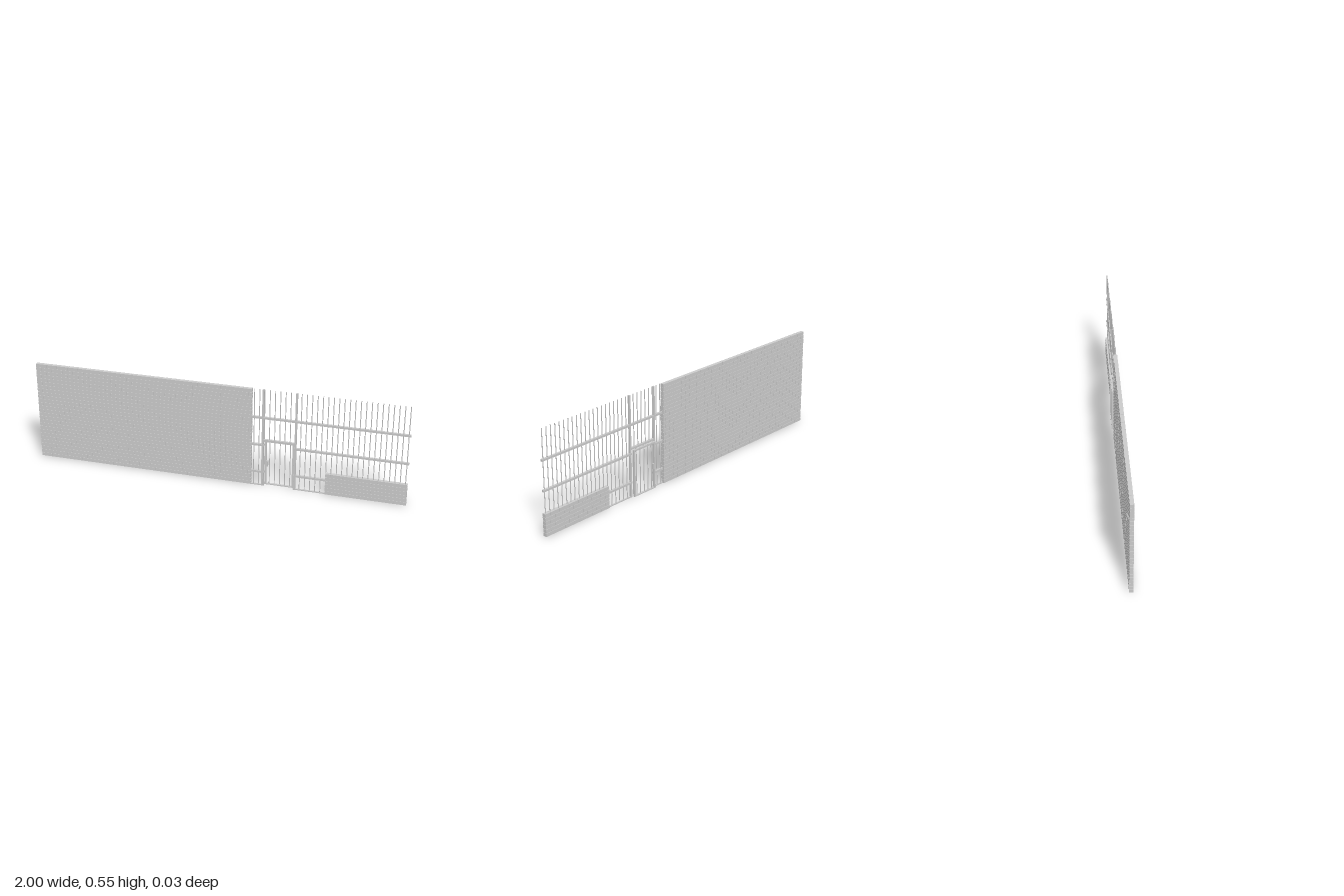
import * as THREE from 'three';
import { mergeGeometries } from 'three/addons/utils/BufferGeometryUtils.js';

const material = new THREE.MeshStandardMaterial({ color: 0xcccccc });

// Box given by its limits on each axis
function box(x0, x1, y0, y1, z0, z1) {
  return new THREE.BoxGeometry(x1 - x0, y1 - y0, z1 - z0)
    .translate((x0 + x1) / 2, (y0 + y1) / 2, (z0 + z1) / 2);
}

function bar(x, y0, y1, z, r = 0.0024) {
  return new THREE.CylinderGeometry(r, r, y1 - y0, 8).translate(x, (y0 + y1) / 2, z);
}

function part(name, geometries) {
  const mesh = new THREE.Mesh(mergeGeometries(geometries), material);
  mesh.name = name;
  return mesh;
}

// Running-bond bricks around a recessed mortar core
function brickWall(name, x0, x1, height, z0, z1, courses) {
  const group = new THREE.Group();
  group.name = name;
  const length = 0.06, gap = 0.0014, step = height / courses;
  const bricks = [];
  for (let row = 0; row < courses; row++) {
    for (let x = x0 - (row % 2) * length / 2; x < x1 - 0.002; x += length) {
      const a = Math.max(x, x0), b = Math.min(x + length, x1);
      const left = a > x0 ? a + gap : a;
      const right = b < x1 ? b - gap : b;
      if (right - left < 0.004) continue;
      bricks.push(box(left, right, row * step + gap, (row + 1) * step - gap, z0, z1));
    }
  }
  const inset = 0.002;
  group.add(part('bricks', bricks));
  group.add(part('mortar', [box(x0 + inset, x1 - inset, 0, height - inset, z0 + inset, z1 - inset)]));
  return group;
}

export function createModel() {
  const model = new THREE.Group();
  const wallEnd = 0.185, lowStart = 0.58, gateL = 0.255, gateR = 0.41;
  const top = 0.547, gateTop = 0.26, z = 0.0055;

  model.add(brickWall('tallWall', -1, wallEnd, 0.545, -0.008, 0.012, 27));
  model.add(brickWall('lowWall', lowStart, 1, 0.12, -0.005, 0.015, 6));

  // Upright fence bars, starting above the gate and the low wall
  const fenceBars = [], gateBars = [];
  for (let i = 0; i < 30; i++) {
    const x = 0.99 - i * 0.0273;
    if (x < wallEnd + 0.006) break;
    const overGate = x > gateL && x < gateR;
    const bottom = x > lowStart ? 0.118 : overGate ? gateTop : 0;
    fenceBars.push(bar(x, bottom, top, z));
    if (overGate) gateBars.push(bar(x, 0.006, gateTop, -0.009));
  }
  model.add(part('fenceBars', fenceBars));

  // Posts beside the gate
  model.add(part('gatePosts', [gateL - 0.01, gateR + 0.008].map(
    (x) => box(x - 0.005, x + 0.005, 0, top, z - 0.005, z + 0.005))));

  // Horizontal rails, the lower ones interrupted by the gate
  const rail = (x0, x1, y) => box(x0, x1, y - 0.0055, y + 0.0055, z - 0.006, z + 0.006);
  model.add(part('rails', [
    rail(wallEnd, 1, 0.39),
    rail(wallEnd, gateL, 0.235), rail(gateR, 1, 0.235),
    rail(wallEnd, gateL, 0.08), rail(gateR, lowStart, 0.08),
    rail(gateL - 0.005, gateR + 0.008, gateTop + 0.003),
    box(wallEnd, gateL, 0, 0.006, z - 0.004, z + 0.004),
    box(gateR, lowStart, 0, 0.006, z - 0.004, z + 0.004),
  ]));

  // Gate leaf behind the fence line
  const gate = new THREE.Group();
  gate.name = 'gate';
  const zb = -0.014, zf = -0.003, w = 0.009;
  gate.add(part('gateFrame', [
    box(gateL, gateL + w, 0.003, 0.258, zb, zf),
    box(gateR - w, gateR, 0.003, 0.258, zb, zf),
    box(gateL + w, gateR - w, 0.258 - w, 0.258, zb, zf),
    box(gateL + w, gateR - w, 0.003, 0.009, zb, zf),
  ]));
  gate.add(part('gateBars', gateBars));
  gate.add(part('gateLock', [box(gateL + 0.004, gateL + 0.017, 0.11, 0.14, zb, zf + 0.002)]));
  model.add(gate);

  return model;
}
